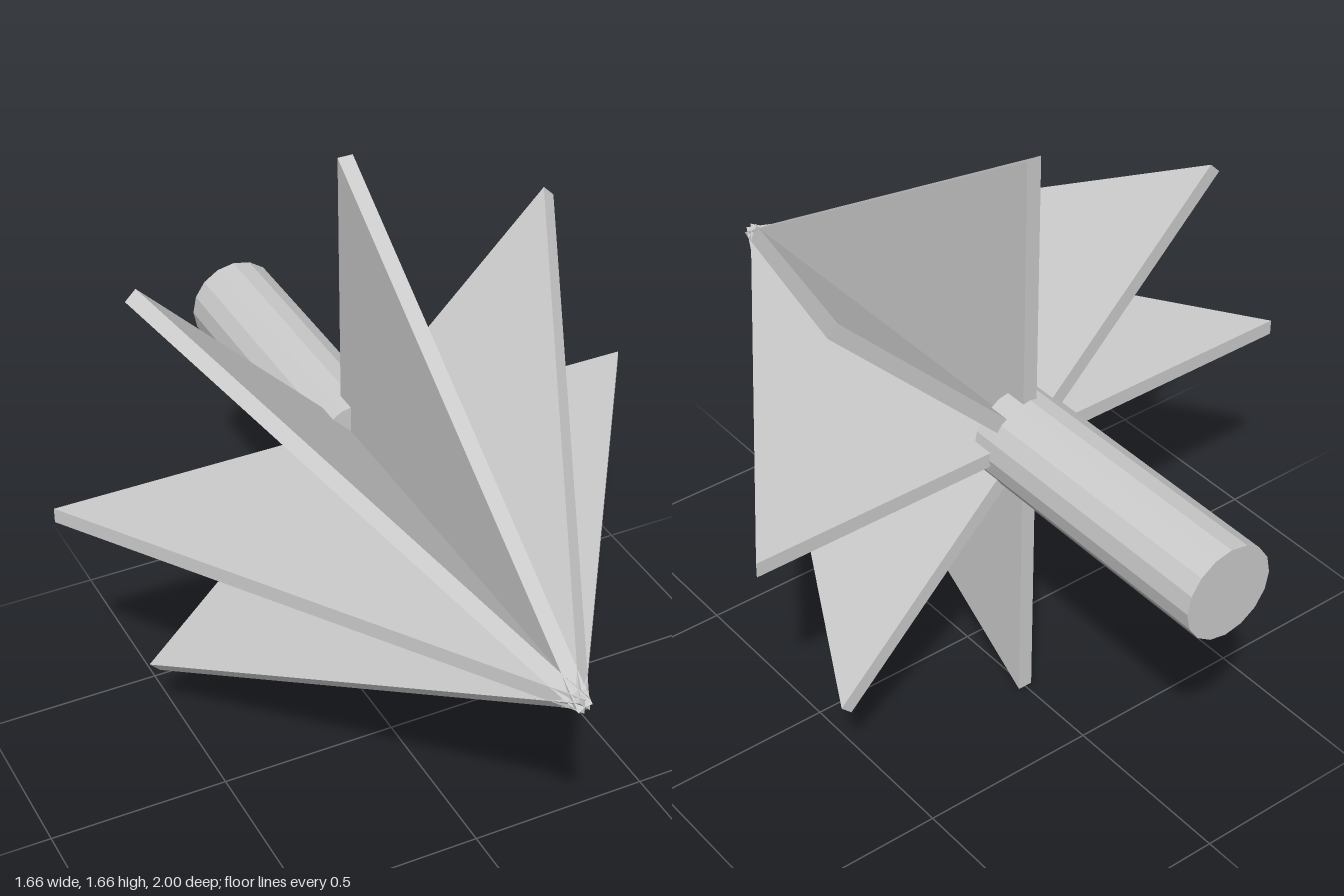
import * as THREE from 'three';

const AXIS_Y = 0.83;     // height of the central axis
const FIN_RADIUS = 0.83;
const FIN_BACK = -0.255;
const THICKNESS = 0.042;

export function createModel() {
  const group = new THREE.Group();
  const material = new THREE.MeshStandardMaterial({ color: 0xcccccc, flatShading: true });

  // Arrowhead: four triangular plates crossing on the axis, giving eight fins
  const triangle = new THREE.Shape([
    new THREE.Vector2(-FIN_RADIUS, FIN_BACK),
    new THREE.Vector2(FIN_RADIUS, FIN_BACK),
    new THREE.Vector2(0, 1),
  ]);
  const plate = new THREE.ExtrudeGeometry(triangle, { depth: THICKNESS, bevelEnabled: false });
  plate.translate(0, 0, -THICKNESS / 2);
  plate.rotateX(Math.PI / 2); // tip points to +z

  const head = new THREE.Group();
  head.name = 'arrowhead';
  head.position.y = AXIS_Y;
  for (let i = 0; i < 4; i++) {
    const fin = new THREE.Mesh(plate, material);
    fin.name = 'finPlate' + (i + 1);
    fin.rotation.z = (i * Math.PI) / 4;
    head.add(fin);
  }
  group.add(head);

  // Shaft: faceted cylinder running a little way into the fins
  const front = -0.193, back = -1;
  const shaft = new THREE.Mesh(new THREE.CylinderGeometry(0.129, 0.129, front - back, 16), material);
  shaft.name = 'shaft';
  shaft.rotation.x = Math.PI / 2;
  shaft.position.set(0, AXIS_Y, (front + back) / 2);
  group.add(shaft);

  return group;
}
